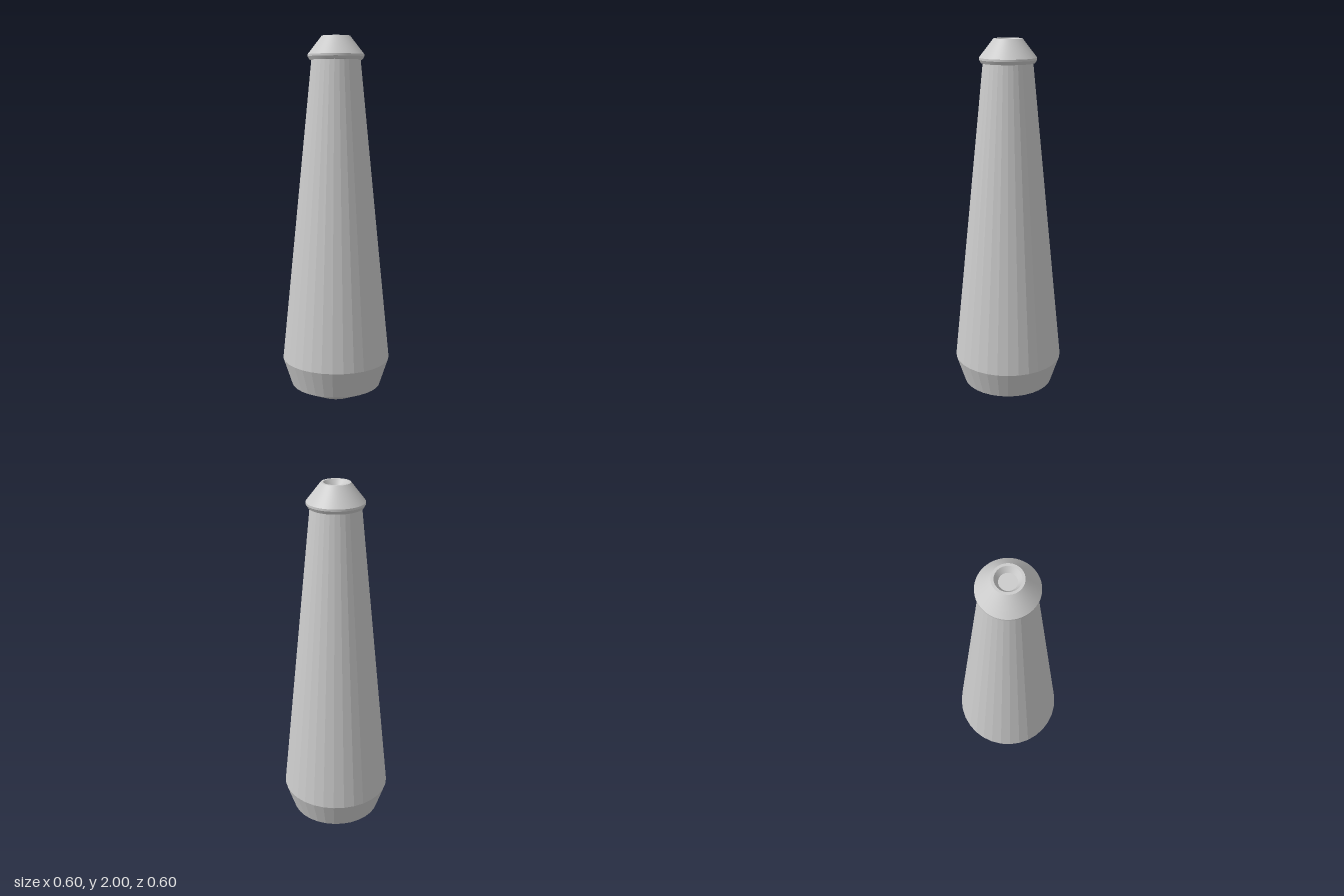
import * as THREE from 'three';
import { mergeGeometries } from 'three/addons/utils/BufferGeometryUtils.js';

// Turned part: each [radius, height] step is its own band, so edges stay sharp
function turned(name, profile, sides, flatShading) {
  const points = profile.map(([r, y]) => new THREE.Vector2(r, y));
  const bands = points.slice(1).map((p, i) => new THREE.LatheGeometry([points[i], p], sides));
  const mesh = new THREE.Mesh(
    mergeGeometries(bands),
    new THREE.MeshStandardMaterial({ color: 0xcccccc, flatShading })
  );
  mesh.name = name;
  return mesh;
}

export function createModel() {
  const model = new THREE.Group();
  model.name = 'taperedHandle';

  // Bevelled foot with a flat underside
  model.add(turned('foot', [[0, 0], [0.108, 0], [0.25, 0.068]], 32, false));

  // Faceted body, widest just above the foot
  model.add(turned('body', [[0.25, 0.068], [0.3, 0.22], [0.132, 1.88]], 32, true));

  // Collar, sloping cap, narrow rim and shallow conical recess
  model.add(turned('cap', [
    [0.125, 1.875], [0.142, 1.875], [0.152, 1.892], [0.152, 1.903],
    [0.076, 2], [0.063, 2], [0.044, 1.97], [0, 1.97],
  ], 64, false));

  return model;
}
